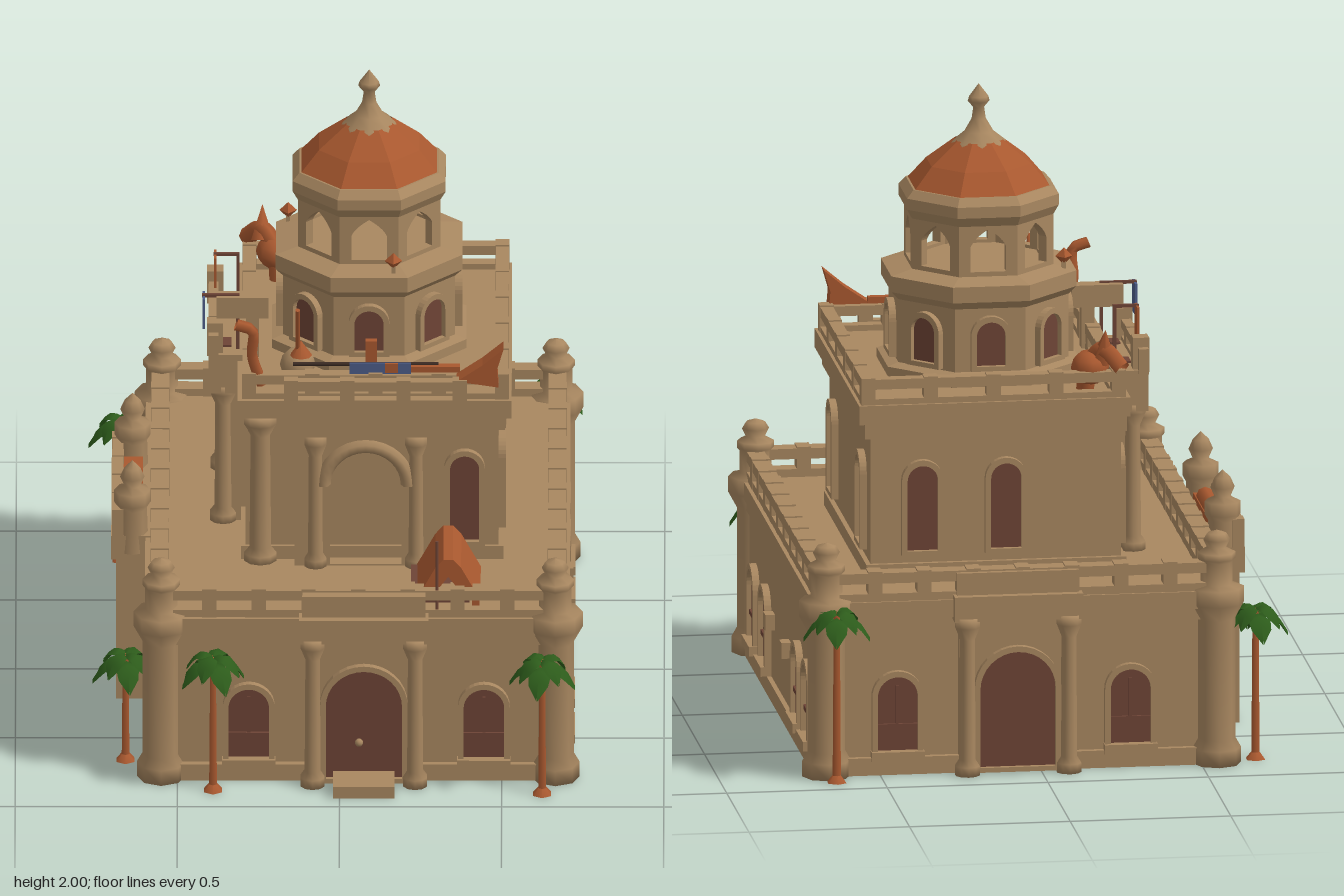
import * as THREE from 'three';

const mat = (name, color, side = THREE.FrontSide) => {
  const m = new THREE.MeshStandardMaterial({ color, side });
  m.name = name;
  return m;
};
const stone = mat('sandstone', 0xa88760);
const clay = mat('terracotta', 0xa8582f, THREE.DoubleSide);
const wood = mat('dark wood', 0x6e4436);
const iron = mat('dark iron', 0x3d2c24);
const leaf = mat('palm green', 0x2d5c1b, THREE.DoubleSide);
const blue = mat('blue cloth', 0x4c5c88);

export function createModel() {
  const root = new THREE.Group();
  const add = (name, geo, m = stone, x = 0, y = 0, z = 0, parent = root) => {
    const mesh = new THREE.Mesh(geo, m);
    mesh.name = name;
    mesh.position.set(x, y, z);
    parent.add(mesh);
    return mesh;
  };
  const group = (name, x = 0, y = 0, z = 0, ry = 0, parent = root) => {
    const g = new THREE.Group();
    g.name = name;
    g.position.set(x, y, z);
    g.rotation.y = ry;
    parent.add(g);
    return g;
  };
  // Box given by its limits
  const block = (name, x0, x1, y0, y1, z0, z1, m = stone, parent = root) =>
    add(name, new THREE.BoxGeometry(x1 - x0, y1 - y0, z1 - z0), m, (x0 + x1) / 2, (y0 + y1) / 2, (z0 + z1) / 2, parent);
  const lathe = (name, pts, seg, x, z, m = stone, parent = root) =>
    add(name, new THREE.LatheGeometry(pts.map(p => new THREE.Vector2(...p)), seg), m, x, 0, z, parent);
  const tube = (name, pts, r, m) =>
    add(name, new THREE.TubeGeometry(new THREE.CatmullRomCurve3(pts.map(p => new THREE.Vector3(...p))), 12, r, 6), m);
  // Faceted ring of eight flats facing the axes, sized across the flats
  const octagon = (name, pts, m, parent) => {
    const k = 1 / Math.cos(Math.PI / 8);
    const g = new THREE.LatheGeometry(pts.map(([r, y]) => new THREE.Vector2(r * k, y)), 8).rotateY(Math.PI / 8).toNonIndexed();
    g.computeVertexNormals();
    return add(name, g, m, 0, 0, 0, parent);
  };
  const archShape = (w, y0, y1, C = THREE.Shape, pointed = false) => {
    const s = new C(), r = w / 2;
    s.moveTo(-r, y0);
    s.lineTo(r, y0);
    s.lineTo(r, y1 - r);
    if (pointed) {
      s.quadraticCurveTo(r * 0.8, y1 - r * 0.5, 0, y1);
      s.quadraticCurveTo(-r * 0.8, y1 - r * 0.5, -r, y1 - r);
    } else s.absarc(0, y1 - r, r, 0, Math.PI);
    s.closePath();
    return s;
  };
  const polygon = pts => new THREE.Shape(pts.map(p => new THREE.Vector2(...p)));
  const extrude = (s, depth) => new THREE.ExtrudeGeometry(s, { depth, bevelEnabled: false, curveSegments: 8 });
  // Wall panel with one arched opening
  const archWall = (x0, x1, y0, y1, w, h0, h1, depth, pointed) => {
    const s = polygon([[x0, y0], [x1, y0], [x1, y1], [x0, y1]]);
    s.holes.push(archShape(w, h0, h1, THREE.Path, pointed));
    return extrude(s, depth);
  };
  const opening = (name, x, z, ry, w, y0, y1, lattice, parent = root) => {
    const g = group(name, x, 0, z, ry, parent);
    add('panel', extrude(archShape(w, y0, y1), 0.006), wood, 0, 0, 0, g);
    const ring = archShape(w + 0.035, y0 - 0.015, y1 + 0.018);
    ring.holes.push(archShape(w, y0, y1, THREE.Path));
    add('frame', extrude(ring, 0.022), stone, 0, 0, 0, g);
    if (lattice) {
      block('sill', -w / 2 - 0.02, w / 2 + 0.02, y0 - 0.025, y0 + 0.005, 0, 0.035, stone, g);
      block('bar', -w / 2, w / 2, y0 + 0.075, y0 + 0.09, 0, 0.014, wood, g);
      block('mullion', -0.005, 0.005, y0 + 0.09, y1 - 0.03, 0, 0.012, wood, g);
    }
  };
  // Balustrade between two points: sill, posts and top rail
  const balustrade = (name, xa, za, xb, zb, y, h, t, gap = 0.15) => {
    const len = Math.hypot(xb - xa, zb - za);
    const g = group(name, xa, y, za, Math.atan2(-(zb - za), xb - xa));
    block('sill', 0, len, 0, h * 0.3, -t / 2, t / 2, stone, g);
    block('rail', 0, len, h * 0.62, h * 0.95, -t / 2, t / 2, stone, g);
    const n = Math.max(2, Math.round(len / gap));
    for (let i = 0; i <= n; i++) {
      const p = i * len / n;
      block('post', p - 0.022, p + 0.022, 0, h, -t * 0.52, t * 0.52, stone, g);
    }
  };
  const ringOf = (name, x0, x1, z0, z1, y, h, t, gap) => {
    for (const z of [z0, z1]) balustrade(name, x0, z, x1, z, y, h, t, gap);
    for (const x of [x0, x1]) balustrade(name, x, z0, x, z1, y, h, t, gap);
  };
  const column = (name, x, z, y0, y1, r, parent) => lathe(name, [[0, y0], [r * 1.5, y0], [r * 1.5, y0 + 0.03], [r, y0 + 0.05],
    [r * 0.9, y1 - 0.07], [r * 1.5, y1 - 0.03], [r * 1.5, y1], [0, y1]], 10, x, z, stone, parent);

  // Lower storey
  block('lowerWalls', -0.57, 0.69, 0, 0.55, -0.82, 0.79);
  block('plinth', -0.585, 0.705, 0, 0.055, -0.84, 0.81);
  block('lowerCornice', -0.585, 0.7, 0.46, 0.5, -0.835, 0.805);
  block('lowerEaves', -0.6, 0.71, 0.5, 0.555, -0.86, 0.82);
  ringOf('lowerBalustrade', -0.555, 0.67, -0.825, 0.78, 0.55, 0.1, 0.055);
  for (const x of [-0.55, 0.665]) for (const z of [-0.82, 0.775]) {
    lathe('cornerTower', [[0, 0], [0.075, 0], [0.075, 0.05], [0.058, 0.08], [0.058, 0.46], [0.085, 0.51], [0.085, 0.56], [0.05, 0.57],
      [0.05, 0.64], [0.058, 0.65], [0.058, 0.67], [0.03, 0.685], [0.042, 0.71], [0.03, 0.73], [0, 0.74]], 8, x, z);
  }
  for (const x of [-0.28, 0.445]) {
    opening('frontWindow', x, 0.79, 0, 0.125, 0.07, 0.31, true);
    opening('backWindow', x, -0.82, Math.PI, 0.125, 0.07, 0.31, true);
  }
  for (const z of [0.575, 0.315, -0.41, -0.645]) {
    opening('leftWindow', 0.69, z, Math.PI / 2, 0.125, 0.08, 0.31, true);
    opening('rightWindow', -0.57, z, -Math.PI / 2, 0.125, 0.08, 0.31, true);
  }
  for (const z of [0.18, -0.18]) block('corbel', 0.68, 0.72, 0.22, 0.27, z - 0.025, z + 0.025);

  // Door bays, front and back
  for (const [z, ry] of [[0.79, 0], [-0.82, Math.PI]]) {
    const g = group('doorBay', 0.075, 0, z, ry);
    block('bayWall', -0.18, 0.18, 0, 0.52, -0.02, 0.03, stone, g);
    block('bayEaves', -0.2, 0.2, 0.49, 0.57, -0.02, 0.075, stone, g);
    block('bayParapet', -0.19, 0.19, 0.57, 0.64, 0, 0.05, stone, g);
    opening('door', 0, 0.03, 0, 0.235, 0.02, 0.385, false, g);
    for (const s of [-1, 1]) column('bayColumn', s * 0.158, 0.05, 0, 0.5, 0.026, g);
  }
  block('doorStep', -0.02, 0.17, 0, 0.04, 0.8, 0.94);
  add('doorKnob', new THREE.SphereGeometry(0.013, 8, 6), stone, 0.06, 0.14, 0.832);

  // Side porch with an arched passage
  const porch = group('sidePorch', -0.69, 0, -0.055, -Math.PI / 2);
  add('porchArch', archWall(-0.27, 0.27, 0, 0.52, 0.32, 0.001, 0.4, 0.035), stone, 0, 0, -0.04, porch);
  for (const s of [-1, 1]) block('porchSide', s * 0.24 - 0.03, s * 0.24 + 0.03, 0, 0.52, -0.13, 0, stone, porch);
  block('porchRoof', -0.285, 0.285, 0.48, 0.56, -0.14, 0.015, stone, porch);
  balustrade('porchRail', -0.685, -0.32, -0.685, 0.21, 0.55, 0.1, 0.035);
  for (const z of [-0.3, 0.19]) {
    lathe('porchPost', [[0.05, 0.5], [0.045, 0.64], [0.056, 0.66], [0.056, 0.7], [0.025, 0.715], [0.038, 0.745], [0.025, 0.775], [0, 0.8]], 8, -0.64, z);
  }
  block('porchRug', -0.667, -0.608, 0.555, 0.62, -0.22, 0.13, clay);
  add('rugRoll', new THREE.CylinderGeometry(0.028, 0.028, 0.18, 8).rotateX(Math.PI / 2), clay, -0.637, 0.625, -0.02);

  // Upper storey
  block('upperWalls', -0.29, 0.49, 0.54, 1.05, -0.55, 0.375);
  block('upperBase', -0.305, 0.505, 0.54, 0.6, -0.565, 0.385);
  block('upperCornice', -0.305, 0.51, 1.0, 1.05, -0.57, 0.395);
  block('upperEaves', -0.315, 0.53, 1.05, 1.11, -0.585, 0.42);
  ringOf('upperBalustrade', -0.28, 0.5, -0.555, 0.385, 1.1, 0.095, 0.04, 0.19);
  opening('upperFrontWindow', 0.385, 0.375, 0, 0.09, 0.62, 0.91);
  for (const z of [0.24, -0.4]) opening('upperLeftWindow', 0.49, z, Math.PI / 2, 0.095, 0.64, 0.91);
  for (const x of [0.07, 0.33]) opening('upperBackWindow', x, -0.55, Math.PI, 0.095, 0.64, 0.91);
  opening('upperRightWindow', -0.29, -0.43, -Math.PI / 2, 0.095, 0.64, 0.91);

  // Front portico with arched niche and hood
  add('porticoArch', archWall(-0.22, 0.22, 0.55, 1.02, 0.22, 0.56, 0.93, 0.06), stone, 0.08, 0, 0.37);
  add('porticoHood', new THREE.TorusGeometry(0.13, 0.022, 6, 16, Math.PI), stone, 0.08, 0.83, 0.43);
  block('porticoEaves', -0.17, 0.33, 1.0, 1.1, 0.34, 0.45);
  balustrade('porticoRail', -0.15, 0.44, 0.37, 0.44, 1.1, 0.095, 0.03);
  block('porticoBalcony', -0.16, 0.38, 1.09, 1.12, 0.38, 0.455);
  for (const x of [-0.075, 0.235]) column('porticoColumn', x, 0.425, 0.55, 1.0, 0.024);
  column('wallColumn', -0.245, 0.38, 0.55, 1.05, 0.035);

  // Side bay on columns
  block('sideBayWall', -0.34, -0.28, 0.54, 1.1, -0.3, 0.1);
  block('sideBayEaves', -0.405, -0.28, 1.0, 1.13, -0.33, 0.13);
  balustrade('sideBayRail', -0.39, -0.32, -0.39, 0.12, 1.12, 0.08, 0.03);
  for (const z of [-0.29, 0.09]) {
    column('sideBayColumn', -0.36, z, 0.55, 1.02, 0.028);
    block('sideBayPost', -0.41, -0.36, 1.12, 1.23, z - 0.025, z + 0.025);
  }
  for (const z of [-0.2, 0.04]) block('sideBayMat', -0.365, -0.335, 1.128, 1.136, z - 0.03, z + 0.03, wood);
  block('sideBayBeam', -0.38, -0.22, 1.24, 1.31, 0.05, 0.1);
  block('sideBayBeamPost', -0.29, -0.25, 1.1, 1.25, 0.05, 0.1);

  // Banners hung from arms over the side bay
  for (const [x, z, m] of [[-0.42, 0.08, blue], [-0.385, -0.22, clay]]) {
    block('bannerArm', x - 0.005, -0.31, 1.305, 1.315, z - 0.005, z + 0.005, wood);
    block('banner', x - 0.004, x + 0.004, 1.21, 1.31, z - 0.032, z + 0.032, m);
    block('bannerPole', -0.32, -0.31, 1.1, 1.31, z - 0.005, z + 0.005, wood);
  }

  // Drum, lantern and dome
  const tower = group('tower', 0.09, 0, -0.09);
  octagon('drum', [[0.3, 1.1], [0.3, 1.14], [0.265, 1.15], [0.265, 1.35], [0.288, 1.375], [0.288, 1.425], [0.2, 1.445], [0, 1.445]], stone, tower);
  for (let i = 0; i < 8; i++) {
    const side = group('towerSide', 0, 0, 0, i * Math.PI / 4, tower);
    opening('drumWindow', 0, 0.265, 0, 0.09, 1.17, 1.31, false, side);
    add('lanternArch', archWall(-0.091, 0.091, 1.44, 1.62, 0.11, 1.455, 1.59, 0.03, true), stone, 0, 0, 0.19, side);
  }
  octagon('lanternCornice', [[0.15, 1.6], [0.22, 1.6], [0.236, 1.63], [0.236, 1.665], [0.215, 1.69], [0, 1.69]], stone, tower);
  octagon('dome', [[0.225, 1.67], [0.155, 1.755], [0.07, 1.825]], clay, tower);
  lathe('finial', [[0.09, 1.8], [0.082, 1.82], [0.045, 1.85], [0.022, 1.89], [0.017, 1.925], [0.034, 1.945], [0.03, 1.96], [0, 2]], 8, 0, 0, stone, tower);

  // Lamps on the drum cornice
  for (const [x, z] of [[-0.16, -0.2], [0.165, 0.17]]) {
    add('lamp', new THREE.OctahedronGeometry(0.027), clay, x, 1.47, z);
    block('lampStem', x - 0.006, x + 0.006, 1.42, 1.46, z - 0.006, z + 0.006);
  }

  // Terrace awning
  const tent = polygon([[-0.1, 0.6], [-0.06, 0.6], [0, 0.68], [0.06, 0.6], [0.1, 0.6], [0.04, 0.71], [0.015, 0.738], [-0.015, 0.738], [-0.04, 0.71]]);
  add('awning', extrude(tent, 0.25), clay, 0.335, 0, 0.53);
  block('awningCrate', 0.22, 0.4, 0.55, 0.61, 0.54, 0.7, wood);
  for (const x of [0.25, 0.42]) block('awningLeg', x - 0.012, x + 0.012, 0.55, 0.61, 0.75, 0.775, clay);
  add('awningPole', new THREE.CylinderGeometry(0.005, 0.005, 0.26, 6), wood, 0.3, 0.68, 0.8);

  // Roof clutter: horns, jar, cloth and poles
  tube('frontHorn', [[-0.24, 1.15, 0.38], [-0.27, 1.25, 0.39], [-0.27, 1.34, 0.4], [-0.32, 1.36, 0.4]], 0.018, clay);
  tube('backHorn', [[-0.19, 1.11, -0.46], [-0.2, 1.2, -0.48], [-0.24, 1.25, -0.53], [-0.29, 1.2, -0.58]], 0.028, clay);
  add('backHornBody', new THREE.SphereGeometry(0.06, 8, 6).scale(1, 0.9, 1.2), clay, -0.2, 1.19, -0.5);
  add('backHornTip', new THREE.ConeGeometry(0.04, 0.11, 6), clay, -0.24, 1.27, -0.54).rotation.x = -0.4;
  add('leftHorn', extrude(polygon([[0.36, 1.19], [0.49, 1.17], [0.485, 1.23], [0.505, 1.3], [0.44, 1.245]]), 0.06), clay, 0, 0, 0.39);
  add('jar', new THREE.SphereGeometry(0.055, 8, 6), stone, -0.13, 1.18, 0.3);
  add('jarLid', new THREE.ConeGeometry(0.035, 0.05, 8), clay, -0.12, 1.245, 0.32);
  add('roofPole', new THREE.CylinderGeometry(0.008, 0.008, 0.3, 6), clay, -0.13, 1.26, 0.33).rotation.x = 0.35;
  add('clothesLine', new THREE.CylinderGeometry(0.006, 0.006, 0.45, 6).rotateZ(Math.PI / 2), iron, 0.08, 1.215, 0.375);
  block('crossBeam', 0.22, 0.37, 1.195, 1.215, 0.37, 0.395, clay);
  block('cloth', 0.03, 0.22, 1.185, 1.225, 0.385, 0.394, blue);
  block('clothPost', 0.08, 0.115, 1.12, 1.29, 0.35, 0.37, clay);
  block('clothPatch', 0.14, 0.18, 1.195, 1.225, 0.39, 0.397, clay);

  // Palms: x, z, height
  const frond = new THREE.PlaneGeometry(0.095, 0.125, 2, 4).rotateX(-Math.PI / 2).translate(0, 0, 0.0625);
  const p = frond.attributes.position;
  for (let i = 0; i < p.count; i++) {
    const t = p.getZ(i) / 0.125, edge = Math.abs(p.getX(i)) / 0.0475;
    p.setX(i, p.getX(i) * (0.35 + 1.3 * t) * (1.02 - t ** 3));
    p.setY(i, 0.03 * Math.sin(t * 3) - 0.07 * t * t - 0.018 * edge);
  }
  frond.computeVertexNormals();
  for (const [x, z, h] of [[-0.675, -0.79, 0.48], [-0.66, 0.66, 0.36], [-0.39, 0.88, 0.455], [0.625, 0.905, 0.455], [0.645, -0.91, 0.54]]) {
    const palm = group('palm', x, 0, z);
    add('trunk', new THREE.CylinderGeometry(0.01, 0.014, h, 6), clay, 0, h / 2, 0, palm);
    add('trunkFoot', new THREE.ConeGeometry(0.032, 0.04, 6), clay, 0, 0.02, 0, palm);
    for (let i = 0; i < 8; i++) {
      const f = add('frond', frond, leaf, 0, h - (i % 2) * 0.025, 0, palm);
      f.rotation.y = i * Math.PI / 4 + x;
      f.scale.setScalar(i % 2 ? 0.82 : 0.7);
    }
  }
  return root;
}
